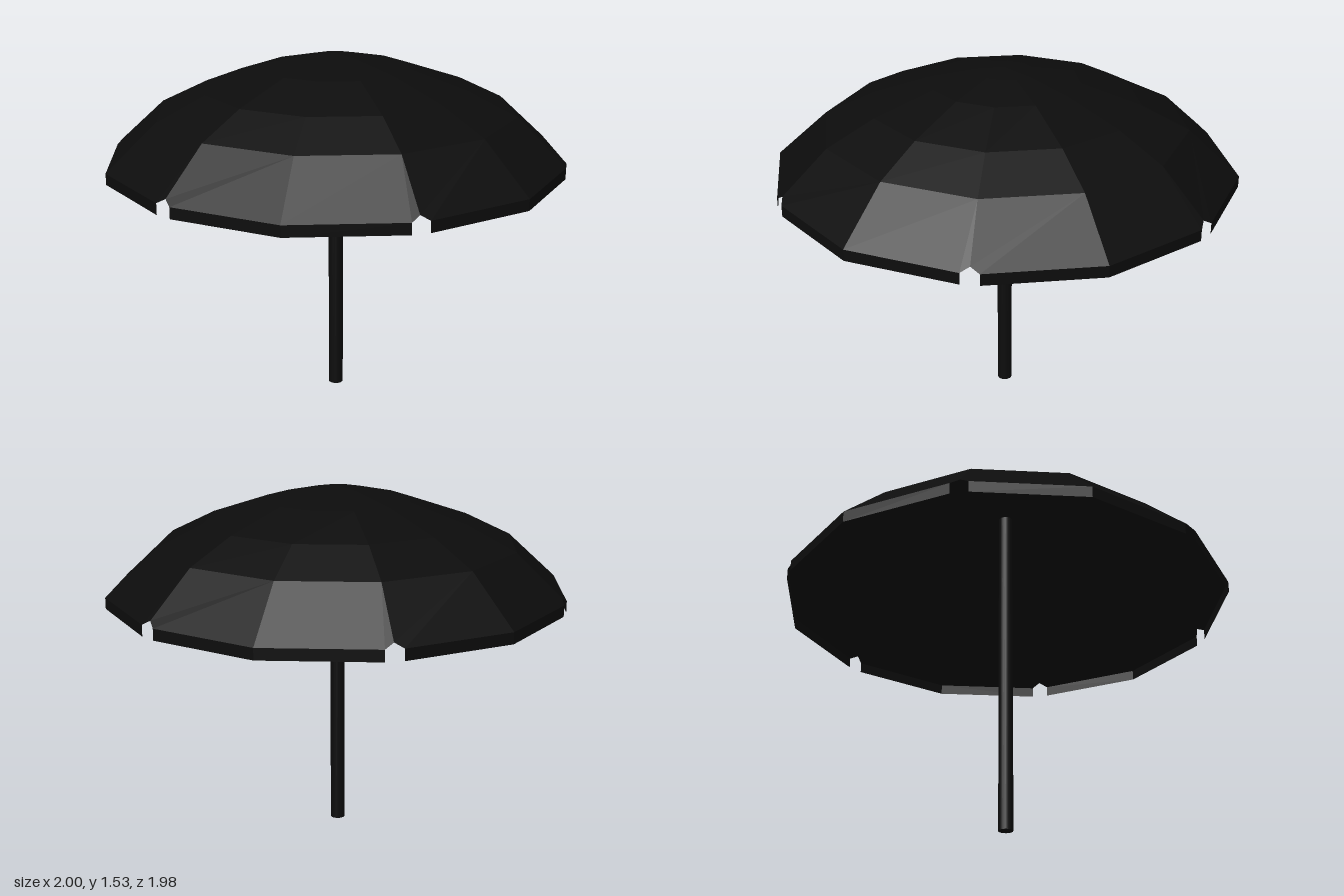
import * as THREE from 'three';

const SIDES = 12;
const RINGS = [[0, 1.53], [0.12, 1.516], [0.32, 1.473], [0.575, 1.388], [0.78, 1.288]];
const RIM_R = 1, RIM_Y = 1.088, HEM_Y = 1.04;

const at = (r, y, i) => {
  const a = (i / SIDES) * Math.PI * 2;
  return new THREE.Vector3(r * Math.cos(a), y, r * Math.sin(a));
};

// Faceted surface from convex polygons, each split as a fan
function facets(polygons) {
  const points = [];
  for (const p of polygons)
    for (let k = 1; k < p.length - 1; k++) points.push(p[0], p[k], p[k + 1]);
  const geometry = new THREE.BufferGeometry().setFromPoints(points);
  geometry.computeVertexNormals();
  return geometry;
}

export function createModel() {
  const black = new THREE.MeshStandardMaterial({ color: 0x0c0c0c, side: THREE.DoubleSide });
  black.name = 'black';
  const model = new THREE.Group();
  model.name = 'parasol';

  const cloth = [], hem = [];
  for (let i = 0; i < SIDES; i++) {
    // Domed panels from the crown outwards
    for (let j = 0; j < RINGS.length - 1; j++) {
      const [r0, y0] = RINGS[j], [r1, y1] = RINGS[j + 1];
      const outer = [at(r1, y1, i + 1), at(r1, y1, i)];
      cloth.push(r0 === 0 ? [at(r0, y0, i), ...outer] : [at(r0, y0, i), at(r0, y0, i + 1), ...outer]);
    }
    // Outer panel: every second rib ends in a small pointed notch
    const [r, y] = RINGS[RINGS.length - 1];
    const notched = i % 2 ? i : i + 1, plain = i % 2 ? i + 1 : i;
    const corner = at(RIM_R, RIM_Y, plain);
    const cut = at(RIM_R, RIM_Y, notched).lerp(corner, 0.075);
    const peak = at(0.975, 1.109, notched);
    const edge = i % 2 ? [corner, cut, peak] : [peak, cut, corner];
    cloth.push([at(r, y, i), at(r, y, i + 1), ...edge]);

    // Upright hem below the rim
    const [first, last] = i % 2 ? [cut, corner] : [corner, cut];
    const low = (p) => new THREE.Vector3(p.x, HEM_Y, p.z);
    hem.push([first, last, low(last), low(first)]);
  }

  const add = (name, geometry) => {
    const mesh = new THREE.Mesh(geometry, black);
    mesh.name = name;
    model.add(mesh);
    return mesh;
  };
  add('canopy', facets(cloth));
  add('hem', facets(hem));

  // Pole from the ground to the crown
  add('pole', new THREE.CylinderGeometry(0.032, 0.032, 1.515, 16)).position.y = 1.515 / 2;

  return model;
}
